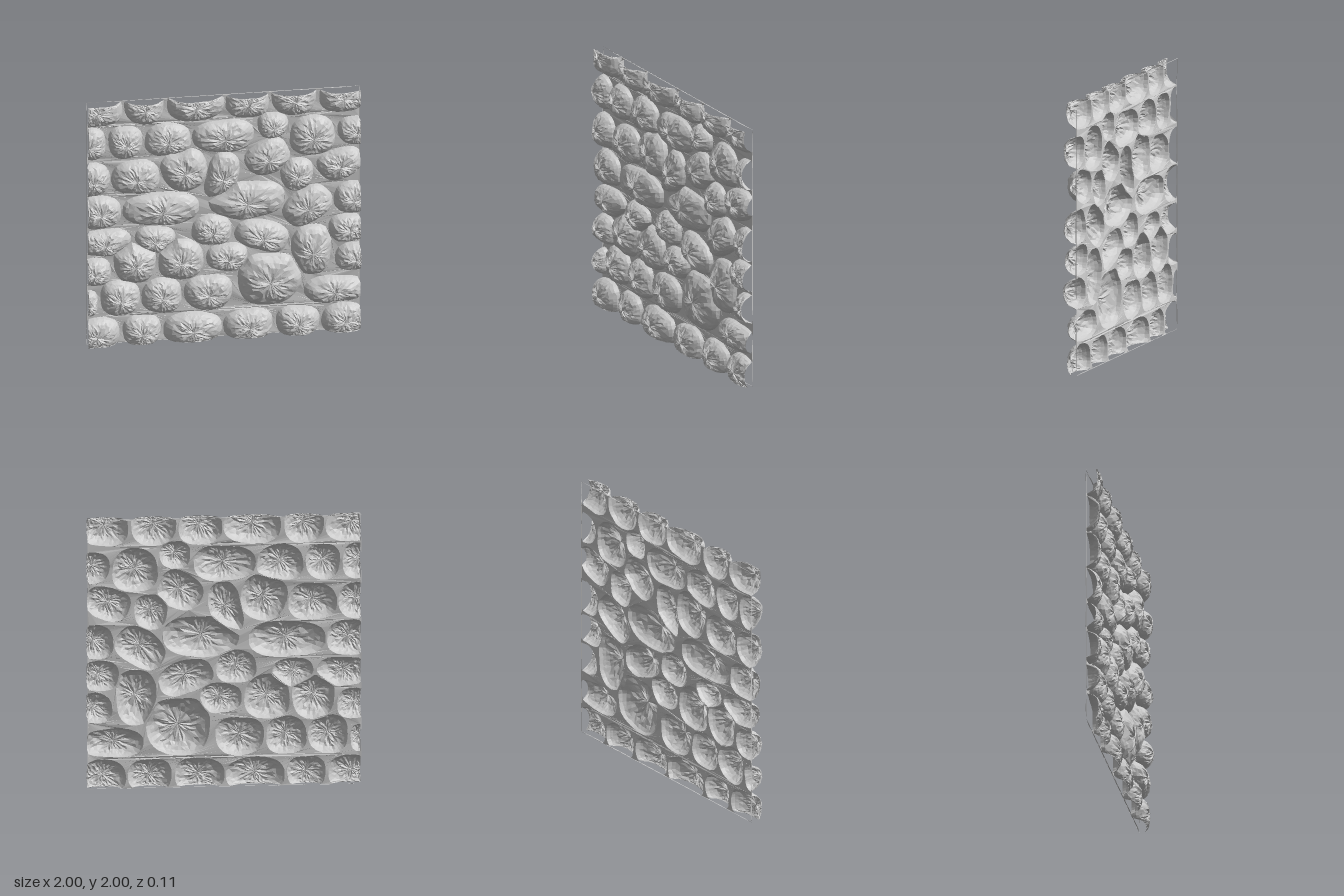
import * as THREE from 'three';

// Upright runs of stones: centre y, half height, then the joints along x
const RUNS = [
  [1.94, .135, -1.13, -.73, -.425, .01, .345, .69, 1.06],
  [1.66, .13, -1.13, -.85, -.585, -.23, .24],
  [1.73, .1, .24, .48],
  [1.62, .16, .48, .825],
  [1.645, .115, .83, 1.11],
  [1.365, .135, -1.1, -.825, -.455],
  [1.31, .13, .41, .665],
  [1.09, .13, -1.07, -.74, -.16],
  [1.12, .15, -.12, .455],
  [1.09, .125, .8, 1.1],
  [.84, .105, -1.08, -.66, -.345],
  [.89, .12, -.24, .07],
  [.68, .205, .49, .8],
  [.84, .11, .755, 1.085],
  [.6, .11, -1.09, -.81],
  [.66, .165, -.81, -.485, -.14],
  [.66, .11, -.13, .19],
  [.455, .21, .095, .575],
  [.6, .11, .81, 1.11],
  [.345, .1, -1.07, -.91],
  [.375, .14, -.91, -.605, -.295, .075],
  [.34, .105, .575, 1.045],
  [.09, .125, -1.12, -.745, -.45, -.005, .375, .71, 1.06],
];
// Tilted stones: centre x, centre y, half width, half height, tilt
const TILTED = [
  [-.285, 1.4, .165, .165, .3],
  [-.01, 1.33, .115, .2, -.25],
  [.325, 1.465, .165, .135, .5],
  [.85, 1.375, .165, .12, .3],
  [.615, 1.045, .19, .135, .6],
  [.285, .82, .2, .12, -.3],
];
const STONES = RUNS.flatMap(([y, half, ...joints]) => joints.slice(1).map((x, k) =>
  [(x + joints[k]) / 2, y, (x - joints[k]) / 2 - .01, half, 0])).concat(TILTED);

const RAYS = 44;
const RINGS = [.22, .42, .6, .75, .87, .95, 1];
const EDGE = .998;
const HEIGHT = .098;

let seed = 7;
function rand() {
  seed = (seed * 16807) % 2147483647;
  return seed / 2147483647;
}
const jitter = (amount) => (rand() - .5) * amount;
const mortarZ = (x, y) => -.053 + .004 * Math.sin(x * 23 + 2 * Math.sin(y * 17));

// 0 at the middle of stone i, 1 on its slightly irregular rounded outline
function reach(i, x, y) {
  const [cx, cy, rx, ry, tilt] = STONES[i];
  const dx = x - cx, dy = y - cy, c = Math.cos(tilt), s = Math.sin(tilt);
  const u = Math.abs(dx * c + dy * s) / rx, v = Math.abs(dy * c - dx * s) / ry;
  const wobble = 1 + .03 * Math.sin(3 * Math.atan2(dy, dx) + i * 2.3);
  return Math.pow(u ** 2.6 + v ** 2.6, 1 / 2.6) * wobble;
}

// Outline: walk outward until the stone ends, a neighbour is near, or the panel is cut
function traceOutline(i) {
  const [cx, cy] = STONES[i];
  const points = [];
  for (let k = 0; k < RAYS; k++) {
    const a = k / RAYS * Math.PI * 2;
    let x = cx, y = cy, cut = false;
    for (let r = 0; r < .4; r += .003) {
      x = cx + r * Math.cos(a);
      y = cy + r * Math.sin(a);
      const own = reach(i, x, y);
      cut = Math.abs(x) >= EDGE || Math.abs(y - 1) >= EDGE;
      if (cut || own >= 1) break;
      if (STONES.some((_, j) => j !== i && reach(j, x, y) - own < .07)) break;
    }
    if (cut) {
      // keep the panel corners square
      if (Math.abs(x) > .97 && Math.abs(y - 1) > .97) {
        x = Math.sign(x);
        y = 1 + Math.sign(y - 1);
      }
      x = THREE.MathUtils.clamp(x, -EDGE, EDGE);
      y = THREE.MathUtils.clamp(y, 1 - EDGE, 1 + EDGE);
    }
    points.push({ x, y, cut });
  }
  return points;
}

// Hollow faceted dome; where the panel edge cuts it, the section stays open
function stoneGeometry(i, outline) {
  const [cx, cy] = STONES[i];
  const height = HEIGHT * (.92 + .1 * rand());
  const slopeX = jitter(.08), slopeY = jitter(.08);
  const pos = [cx, cy, mortarZ(cx, cy) + height];
  const index = [];
  for (const t of RINGS) {
    for (const p of outline) {
      const rim = t === 1;
      const f = rim ? 1 : t + jitter(.09) * (1 - t * .7);
      const x = cx + (p.x - cx) * f, y = cy + (p.y - cy) * f;
      const s = Math.min(1, p.cut ? reach(i, x, y) : f);
      const dome = Math.pow(1 - s ** 2.7, .6);
      const rough = rim ? 0 : jitter(.018) * dome + dome * ((x - cx) * slopeX + (y - cy) * slopeY);
      pos.push(x, y, Math.min(.055, mortarZ(x, y) + height * dome + rough));
    }
  }
  for (let k = 0; k < RAYS; k++) {
    const n = (k + 1) % RAYS;
    index.push(0, 1 + k, 1 + n);
    for (let r = 0; r < RINGS.length - 1; r++) {
      const a = 1 + r * RAYS + k, b = 1 + r * RAYS + n, c = a + RAYS, d = b + RAYS;
      // mixed diagonals give a chipped look
      if (rand() < .5) index.push(a, c, d, a, d, b);
      else index.push(a, c, b, b, c, d);
    }
  }
  const geo = new THREE.BufferGeometry();
  geo.setAttribute('position', new THREE.Float32BufferAttribute(pos, 3));
  geo.setIndex(index);
  geo.computeVertexNormals();
  return geo;
}

export function createModel() {
  const wall = new THREE.Group();
  wall.name = 'stoneWallPanel';
  const material = new THREE.MeshStandardMaterial({ color: 0xcccccc, flatShading: true, side: THREE.DoubleSide });

  // Mortar sheet with one opening per stone
  const sheet = new THREE.Shape([[-1, 0], [1, 0], [1, 2], [-1, 2]].map(([x, y]) => new THREE.Vector2(x, y)));
  const stones = new THREE.Group();
  stones.name = 'stones';
  STONES.forEach((_, i) => {
    const outline = traceOutline(i);
    sheet.holes.push(new THREE.Path(outline.map((p) => new THREE.Vector2(p.x, p.y))));
    const stone = new THREE.Mesh(stoneGeometry(i, outline), material);
    stone.name = `stone${i + 1}`;
    stones.add(stone);
  });

  const mortarGeo = new THREE.ShapeGeometry(sheet);
  const p = mortarGeo.attributes.position;
  for (let k = 0; k < p.count; k++) p.setZ(k, mortarZ(p.getX(k), p.getY(k)));
  mortarGeo.computeVertexNormals();
  const mortar = new THREE.Mesh(mortarGeo, material);
  mortar.name = 'mortar';
  wall.add(mortar, stones);
  return wall;
}
